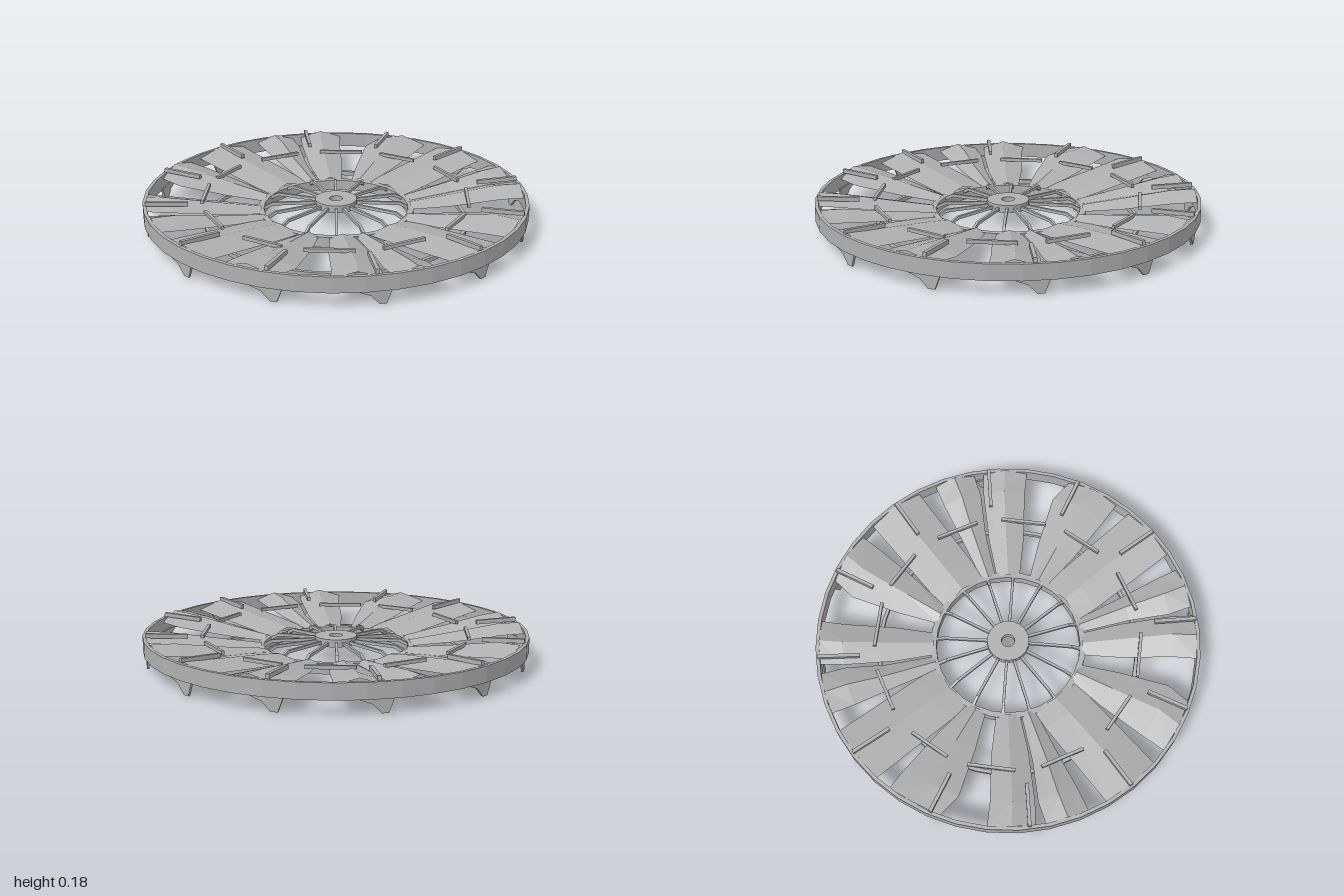
import * as THREE from 'three';

const grey = new THREE.MeshStandardMaterial({ color: 0xb0b0b0, side: THREE.DoubleSide });
grey.name = 'plain grey';
grey.flatShading = true;

// polar position on the wheel, angle in degrees
const at = (r, deg, y) => {
  const a = THREE.MathUtils.degToRad(deg);
  return new THREE.Vector3(r * Math.cos(a), y, -r * Math.sin(a));
};

export function createModel() {
  const wheel = new THREE.Group();
  wheel.name = 'bladedWheel';

  const add = (name, geometry) => {
    const mesh = new THREE.Mesh(geometry, grey);
    mesh.name = name;
    wheel.add(mesh);
    return mesh;
  };

  // hoop of rectangular section: [inner, outer] radius and [low, high] height
  const hoop = (name, r0, r1, y0, y1, sides) => add(name, new THREE.LatheGeometry(
    [[r0, y0], [r1, y0], [r1, y1], [r0, y1], [r0, y0]].map(p => new THREE.Vector2(...p)), sides));

  // straight bar between two points
  const bar = (name, a, b, width, height) => {
    const mesh = add(name, new THREE.BoxGeometry(width, height, a.distanceTo(b)));
    mesh.position.copy(a).lerp(b, 0.5);
    mesh.lookAt(b);
  };

  // roof-shaped blade lofted over rows of [radius, first angle, last angle, edge y, ridge y]
  const blade = (name, rows, turn) => {
    const pts = [], index = [];
    rows.forEach(([r, a, b, edge, ridge]) => {
      pts.push(at(r, a + turn, edge), at(r, (a + b) / 2 + turn, ridge), at(r, b + turn, edge));
    });
    for (let i = 0; i < rows.length - 1; i++) {
      for (let j = 0; j < 2; j++) {
        const k = i * 3 + j;
        index.push(k, k + 3, k + 1, k + 1, k + 3, k + 4);
      }
    }
    const g = new THREE.BufferGeometry().setFromPoints(pts);
    g.setIndex(index);
    g.computeVertexNormals();
    add(name, g);
  };

  // hanging fin: thin gusset set along the rim, steep on one side and swept on the other
  const finShape = new THREE.Shape([[-0.15, 0.09], [-0.06, 0.055], [-0.018, 0.01],
    [0.015, 0.01], [0.03, 0.05], [0.045, 0.09]].map(p => new THREE.Vector2(...p)));
  const finGeometry = new THREE.ExtrudeGeometry(finShape, { depth: 0.012, bevelEnabled: false });

  // rings
  hoop('outerRim', 0.98, 0.998, 0.08, 0.16, 40);
  hoop('innerRing', 0.378, 0.408, 0.03, 0.085, 28);
  hoop('lowerRing', 0.672, 0.69, 0.005, 0.028, 48);
  hoop('hub', 0.035, 0.11, 0.09, 0.13, 20);

  const blades = [
    ['wideBlade', [[0.39, -19, 19, 0.078, 0.102], [0.5, -16.5, 16.5, 0.09, 0.118], [0.98, -9.2, 9.2, 0.135, 0.168]]],
    ['leadingBlade', [[0.39, 19, 34, 0.078, 0.1], [0.6, 15, 35, 0.098, 0.13], [0.86, 14, 34.5, 0.128, 0.172], [0.98, 14, 31, 0.138, 0.175]]],
    ['diagonalBlade', [[0.39, 42, 60, 0.078, 0.098], [0.6, 43, 61, 0.098, 0.128], [0.86, 45, 60, 0.13, 0.168], [0.98, 45, 59, 0.14, 0.175]]],
    ['trailingBlade', [[0.39, 61, 72, 0.075, 0.095], [0.65, 62, 74, 0.098, 0.13], [0.86, 61, 75, 0.124, 0.165], [0.98, 62, 75, 0.138, 0.172]]],
  ];

  // the wheel repeats every quarter turn
  for (let q = 0; q < 4; q++) {
    const turn = q * 90;
    blades.forEach(([name, rows]) => blade(name, rows, turn));

    // spokes run level, then bend down to the inner ring
    for (const a of [0, 23, 47, 68]) {
      bar('spoke', at(0.1, a + turn, 0.108), at(0.335, a + turn, 0.1), 0.014, 0.016);
      bar('spokeElbow', at(0.33, a + turn, 0.102), at(0.39, a + turn, 0.07), 0.014, 0.016);
    }
    // radial clips over the blades, each with a fin below the rim
    for (const a of [0, 29, 58]) {
      bar('rimClip', at(0.77, a + turn, 0.162), at(0.985, a + turn - 0.8, 0.173), 0.018, 0.022);
      const fin = add('rimFin', finGeometry);
      fin.position.copy(at(0.97, a + 1 + turn, 0));
      fin.rotation.y = THREE.MathUtils.degToRad(a + 1 + turn + 90);
    }
    // short cross rods
    for (const [a, b] of [[7, 25], [34, 54], [65, 84]]) {
      bar('crossRod', at(0.695, a + turn, 0.145), at(0.695, b + turn, 0.145), 0.016, 0.018);
    }
  }
  return wheel;
}
